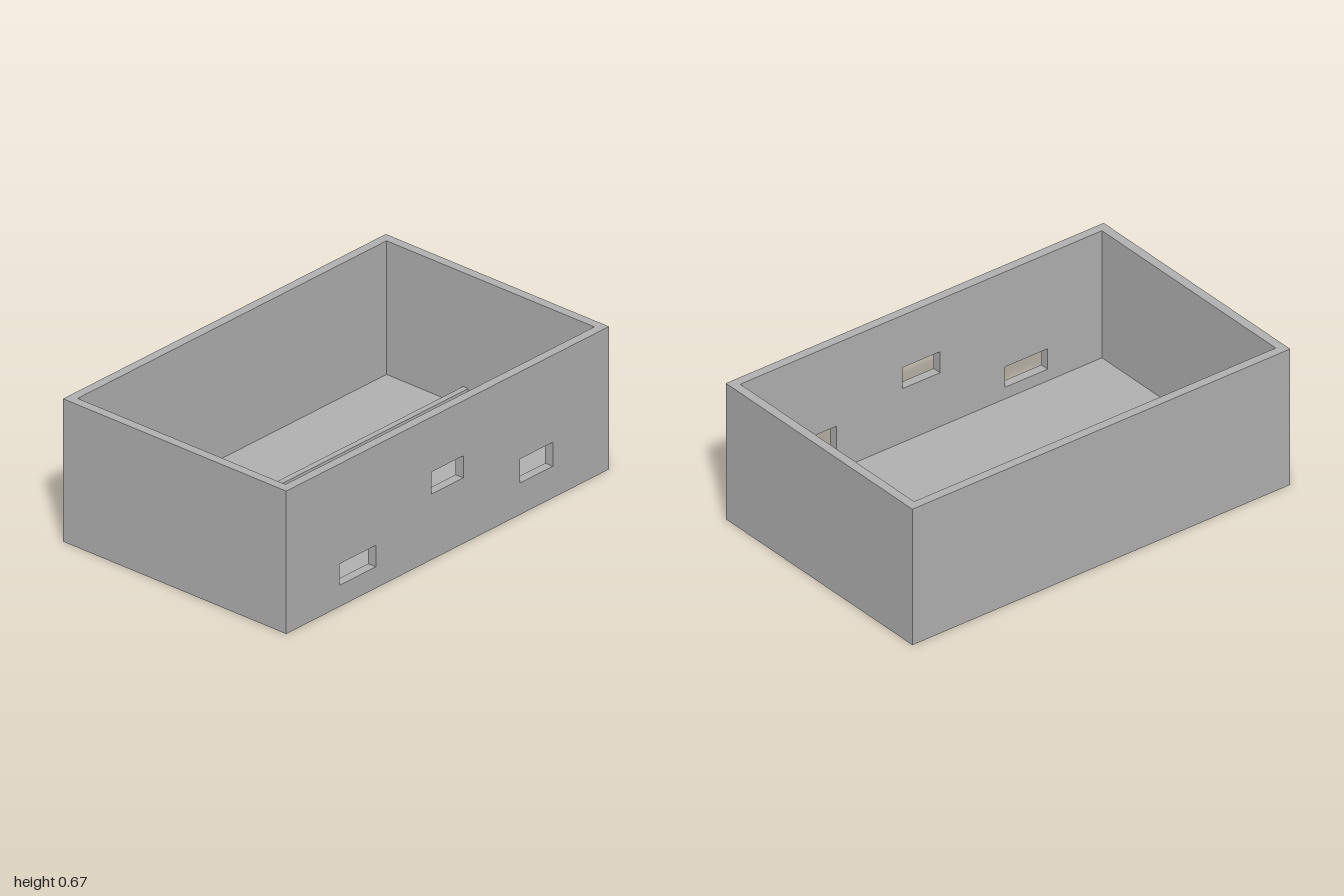
import * as THREE from 'three';

const W = 2, H = 0.667, D = 1.246, T = 0.043; // outer size and wall thickness

export function createModel() {
  const model = new THREE.Group();
  model.name = 'openBox';
  const grey = new THREE.MeshStandardMaterial({ color: 0xb2b2b2 });
  grey.name = 'plain grey';

  const add = (name, geometry, x, y, z) => {
    const mesh = new THREE.Mesh(geometry, grey);
    mesh.name = name;
    mesh.position.set(x, y, z);
    model.add(mesh);
  };
  const rect = (target, x0, y0, x1, y1) => {
    target.moveTo(x0, y0);
    target.lineTo(x1, y0);
    target.lineTo(x1, y1);
    target.lineTo(x0, y1);
    target.closePath();
    return target;
  };

  // front wall with three rectangular openings
  const face = rect(new THREE.Shape(), -W / 2, 0, W / 2, H);
  const openings = [
    [-0.67, 0.1, -0.445, 0.2],
    [-0.1, 0.307, 0.098, 0.41],
    [0.448, 0.148, 0.652, 0.26],
  ];
  for (const o of openings) face.holes.push(rect(new THREE.Path(), ...o));
  add('frontWall', new THREE.ExtrudeGeometry(face, { depth: T, bevelEnabled: false }), 0, 0, D / 2 - T);

  // plain back and side walls
  add('backWall', new THREE.BoxGeometry(W, H, T), 0, H / 2, -D / 2 + T / 2);
  for (const [name, s] of [['leftWall', 1], ['rightWall', -1]]) {
    add(name, new THREE.BoxGeometry(T, H, D - 2 * T), s * (W - T) / 2, H / 2, 0);
  }

  // floor and the low divider running across it
  add('floor', new THREE.BoxGeometry(W - 2 * T, T, D - 2 * T), 0, T / 2, 0);
  const ribTop = 0.135;
  add('divider', new THREE.BoxGeometry(W - 2 * T, ribTop - T, 0.028), 0, (ribTop + T) / 2, -0.138);

  return model;
}
